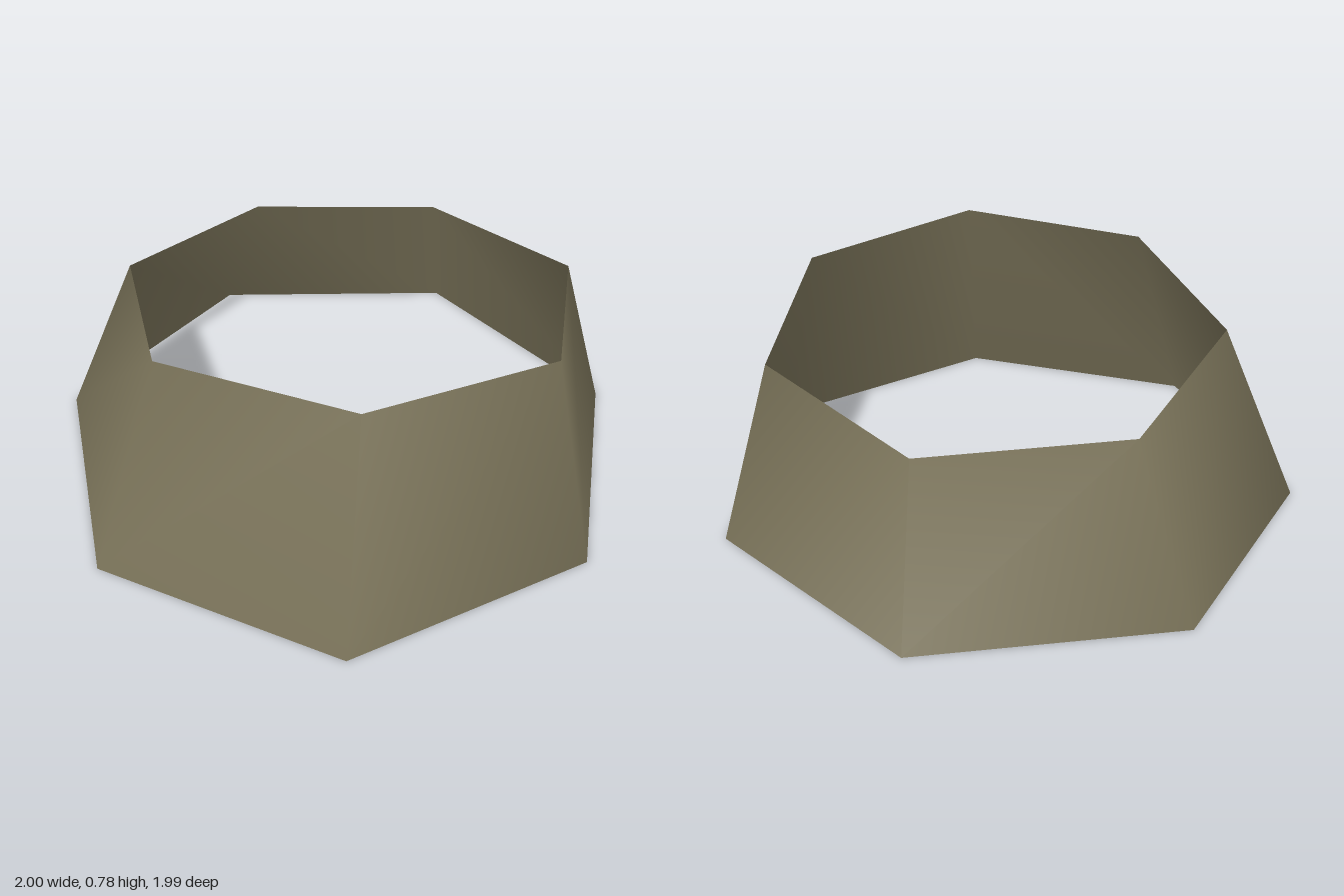
import * as THREE from 'three';
import { mergeVertices } from 'three/addons/utils/BufferGeometryUtils.js';

export function createModel() {
  const group = new THREE.Group();
  group.name = 'taperedCollar';

  const olive = new THREE.MeshStandardMaterial({ color: 0x7b745a, side: THREE.DoubleSide });
  olive.name = 'drabOlive';

  // Open seven-sided sleeve, tapering upward
  const sides = 7, start = THREE.MathUtils.degToRad(175.2);
  let geo = new THREE.CylinderGeometry(0.79, 1.03, 1, sides, 1, true, start);
  geo.deleteAttribute('uv');
  geo.deleteAttribute('normal');

  // Bottom rim lies flat on the ground; top rim is shifted and tilted
  const pos = geo.attributes.position;
  for (let i = 0; i < pos.count; i++) {
    const x = pos.getX(i), z = pos.getZ(i);
    if (pos.getY(i) > 0) pos.setXYZ(i, x + 0.057, 0.662 - 0.084 * x + 0.117 * z, z + 0.049);
    else pos.setXYZ(i, x + 0.019, 0, z + 0.029);
  }

  // Weld the seam so the shading runs smoothly all the way round
  geo = mergeVertices(geo, 1e-4);
  geo.computeVertexNormals();

  const wall = new THREE.Mesh(geo, olive);
  wall.name = 'collarWall';
  group.add(wall);
  return group;
}
